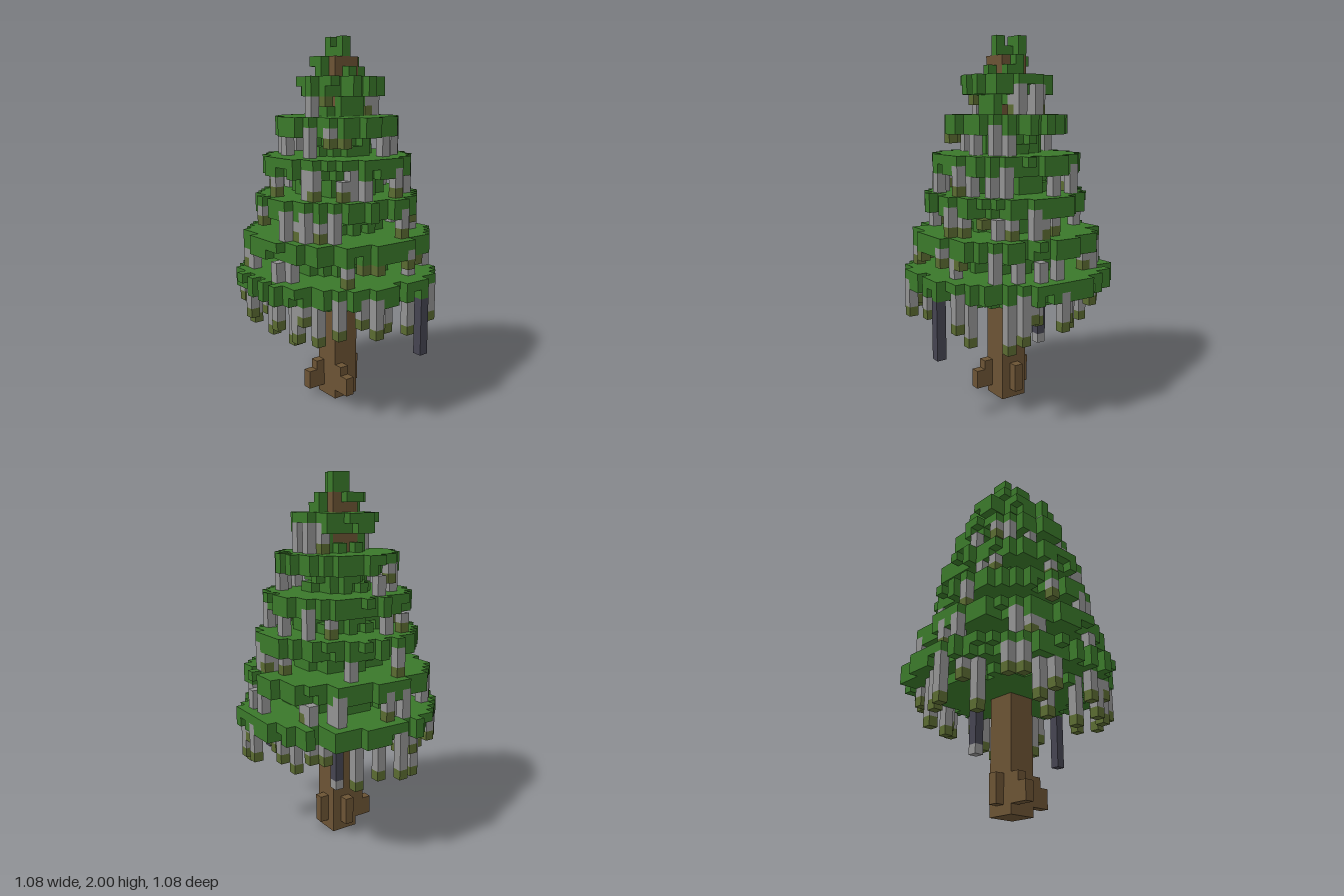
import * as THREE from 'three';

const V = 2 / 39; // voxel size

const mat = (name, color) => {
  const m = new THREE.MeshStandardMaterial({ color });
  m.name = name;
  return m;
};

// Repeatable noise in 0..1 for a cell
function noise(a, b, c) {
  let h = (Math.imul(a, 374761393) + Math.imul(b, 668265263) + Math.imul(c, 1274126177)) | 0;
  h = Math.imul(h ^ (h >>> 13), 1274126177);
  h = Math.imul(h ^ (h >>> 15), 2246822519);
  return ((h ^ (h >>> 16)) >>> 0) / 4294967296;
}

const DIRS = [[1, 0, 0], [-1, 0, 0], [0, 1, 0], [0, -1, 0], [0, 0, 1], [0, 0, -1]];

// Geometry of the exposed faces of one part's voxels
function voxelGeometry(list, cells) {
  const pos = [], nor = [];
  for (const [x, y, z] of list) {
    for (const d of DIRS) {
      if (cells.has(`${x + d[0]},${y + d[1]},${z + d[2]}`)) continue;
      const n = new THREE.Vector3(...d);
      const u = new THREE.Vector3(d[1], d[2], d[0]);
      const w = new THREE.Vector3().crossVectors(n, u);
      const c = new THREE.Vector3(x, y + 0.5, z).addScaledVector(n, 0.5);
      for (const [a, b] of [[-1, -1], [1, -1], [1, 1], [-1, -1], [1, 1], [-1, 1]]) {
        const p = c.clone().addScaledVector(u, a / 2).addScaledVector(w, b / 2).multiplyScalar(V);
        pos.push(p.x, p.y, p.z);
        nor.push(...d);
      }
    }
  }
  const g = new THREE.BufferGeometry();
  g.setAttribute('position', new THREE.Float32BufferAttribute(pos, 3));
  g.setAttribute('normal', new THREE.Float32BufferAttribute(nor, 3));
  return g;
}

export function createModel() {
  const needle = mat('needle green', 0x3a782a);
  const bark = mat('bark brown', 0x6b5334);
  const grey = mat('moss grey', 0x929292);
  const olive = mat('olive tip', 0x5a6a31);
  const dark = mat('dark slate', 0x454451);

  const cells = new Set();
  const parts = new Map();
  const put = (name, material, x, y, z) => {
    const key = `${x},${y},${z}`;
    if (cells.has(key)) return;
    cells.add(key);
    if (!parts.has(name)) parts.set(name, { material, list: [] });
    parts.get(name).list.push([x, y, z]);
  };
  const column = (name, material, x, z, y0, y1) => {
    for (let y = y0; y < y1; y++) put(name, material, x, y, z);
  };

  // Trunk, three voxels square
  for (let x = -1; x <= 1; x++) for (let z = -1; z <= 1; z++) column('trunk', bark, x, z, 0, 37);

  // Roots: x, z, first and last level
  for (const r of [[2, 1, 1, 4], [3, 1, 1, 3], [-2, 0, 1, 4], [-1, 2, 1, 4], [-1, 3, 1, 3], [0, -2, 1, 4]])
    column('roots', bark, ...r);

  // Two dark hanging strands
  column('darkStrands', dark, 10, -3, 7, 13);
  column('darkStrands', dark, -3, -2, 7, 12);
  put('hangingMoss', grey, -3, 6, -2);

  const inside = (x, z, r) => x * x + z * z <= (r + 0.45) ** 2;
  const onRim = (x, z, r) => !inside(x + Math.sign(x), z, r) || !inside(x, z + Math.sign(z), r);
  const edge = (a, r) => Math.floor(Math.sqrt((r + 0.45) ** 2 - a * a)); // outermost cell of a row

  // Long strands under the lowest tier: x, z, level of the olive tip
  const strands = [
    [-2, 7, 8], [2, 7, 8], [8, 6, 10], [7, -4, 8], [-8, 4, 8], [-4, 8, 9], [2, 9, 10], [-8, -3, 8],
    [-3, -7, 9], [-2, -8, 10], [1, -7, 10], [4, -9, 9], [5, -8, 8], [-9, -1, 9], [-10, 1, 9],
    [6, 7, 9], [9, -5, 10], [9, 1, 10], [10, 3, 10], [-6, -7, 11], [-7, -6, 11], [-6, 8, 11],
    [3, -9, 11], [-9, 3, 11], [4, 8, 9], [9, 4, 11], [-3, 9, 10], [0, -10, 10], [5, 8, 11], [-7, 7, 11],
  ];
  for (const [x, z, tip] of strands) {
    column('hangingMoss', grey, x, z, tip + 1, onRim(x, z, 10) ? 14 : 13);
    put('mossTips', olive, x, tip, z);
  }

  // Gaps in the rim of the lowest tier
  const gaps = new Set(['-2,10', '0,10', '2,10', '10,0', '-10,2', '5,-9', '6,-8', '6,8', '-7,-7']);

  // Branch tiers: top level, radius, skirt radius, moss columns on the front (x) and on the +x side (z)
  const tiers = [
    { top: 15, r: 10, skirt: 7, front: [], side: [] },
    { top: 19, r: 9, skirt: 5, front: [-9, -6, -5, -4, 2, 3, 8], side: [9, 3, 2, -2, -3, -4, -7, -9] },
    { top: 23, r: 8, skirt: 4, front: [-8, -2, 3, 4, 5], side: [8, 5, -2, -3, -5, -6, -7] },
    { top: 27, r: 7, skirt: 4, front: [-6, -1, 3, 6], side: [6, 3, 2, -2, -3, -5, -6] },
    { top: 31, r: 5.65, skirt: 3, front: [-5, -4, -2, 2, 5], side: [4, -2, -4, -5] },
    { top: 35, r: 4, skirt: 2, front: [1, 2], side: [4, -4] },
  ];
  tiers.forEach(({ top, r, skirt, front, side }, t) => {
    const name = `branchTier${t + 1}`;
    const n = Math.ceil(r);
    for (let x = -n; x <= n; x++) for (let z = -n; z <= n; z++) {
      if (!inside(x, z, r)) continue;
      const rim = onRim(x, z, r);
      const nearRim = rim || (onRim(x, z, r - 1) && !inside(x, z, r - 1.6));
      // short moss strands filling the space above the next tier
      const placed = (z === edge(x, r) && front.includes(x)) || (x === edge(z, r) && side.includes(z));
      const scattered = t > 0 && nearRim && noise(x, z, top + 50) < 0.25
        && ((z < 0 && x < r * 0.5) || (x < 0 && z < r * 0.3));
      if (placed || scattered) {
        const start = rim && noise(x, z, top + 70) < 0.45 ? top - 1 : top - 2;
        const pick = noise(x, z, top + 90);
        const short = pick < 0.2;
        if (pick < 0.45) put('mossTips', olive, x, short ? top - 3 : top - 4, z);
        column('hangingMoss', grey, x, z, short ? top - 2 : top - 4, start);
      } else if (t === 0 ? gaps.has(`${x},${z}`) : rim && noise(x, z, top) < 0.22) continue;
      put(name, needle, x, top - 1, z);
      if (!rim || noise(x, z, top + 20) > 0.25) put(name, needle, x, top - 2, z);
      // narrower ragged skirt
      if (inside(x, z, skirt)) {
        const outer = onRim(x, z, skirt);
        for (let y = top - (t === 0 ? 3 : 4); y < top - 2; y++)
          if (!outer || noise(x, z, y + 130) > 0.25) put(name, needle, x, y, z);
      }
    }
  });

  // Stray outer twigs of the lowest tier
  for (const [x, z] of [[-7, -8], [-9, -6]]) column('branchTier1', needle, x, z, 13, 15);

  // Crown around the trunk top: x, z, first and last level
  for (const c of [[-1, -1, 37, 39], [1, 0, 37, 39], [0, 0, 37, 38], [-1, 0, 37, 39], [0, 2, 35, 37],
    [-1, 2, 36, 37], [-2, 1, 36, 37], [-2, 0, 36, 37], [2, 0, 35, 36], [0, -2, 35, 37], [1, -2, 35, 36]])
    column('crown', needle, ...c);

  const group = new THREE.Group();
  group.name = 'tree';
  for (const [name, { material, list }] of parts) {
    const mesh = new THREE.Mesh(voxelGeometry(list, cells), material);
    mesh.name = name;
    group.add(mesh);
  }
  return group;
}
